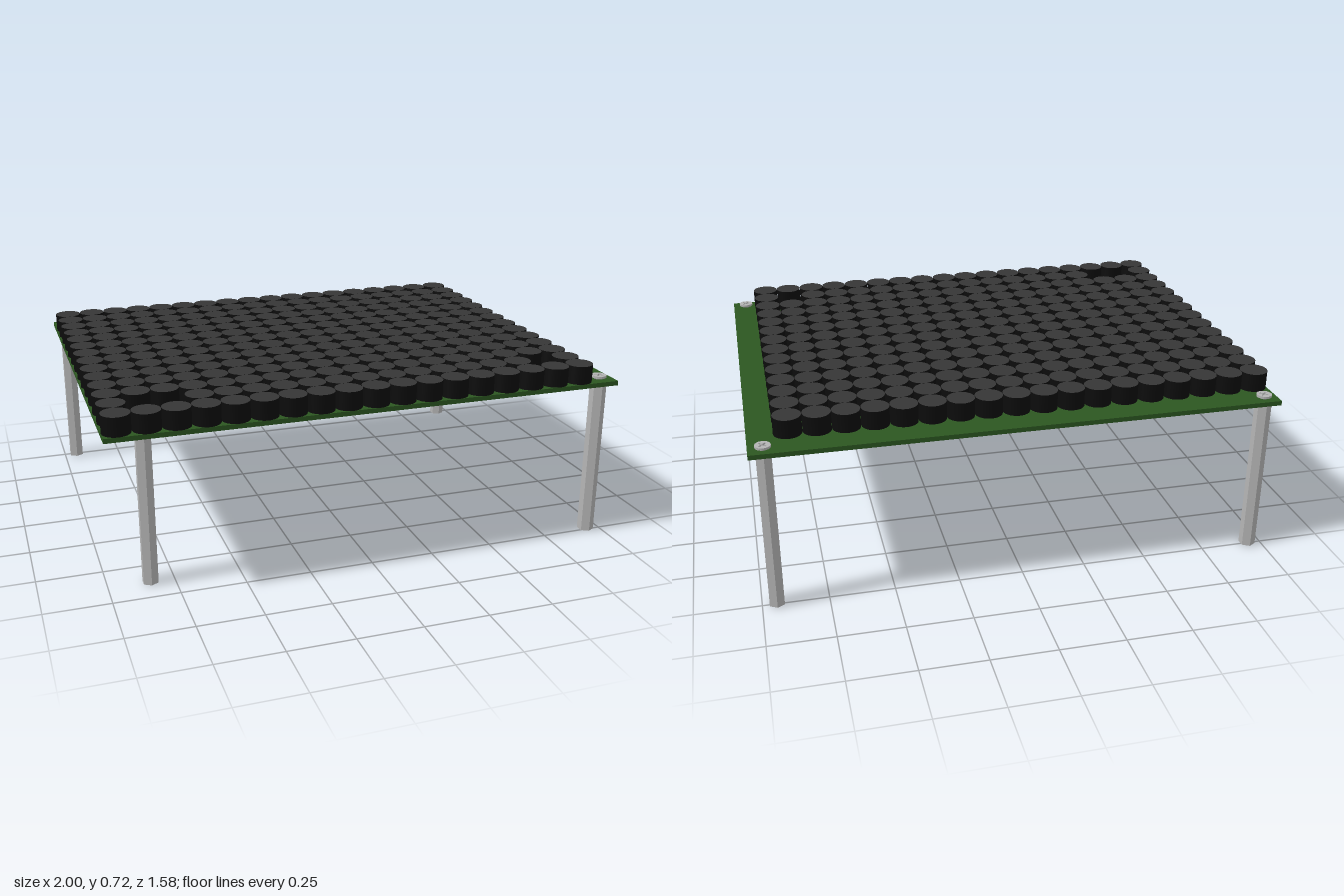
import * as THREE from 'three';

const mat = (name, color, extra = {}) => {
  const m = new THREE.MeshStandardMaterial({ color, ...extra });
  m.name = name;
  return m;
};

export function createModel() {
  const boardGreen = mat('boardGreen', 0x2c5721);
  const capTop = mat('charcoalTop', 0x363636);
  const capSide = mat('blackSide', 0x0c0c0c);
  const steel = mat('steel', 0xb4b4b4);
  steel.flatShading = true;

  const model = new THREE.Group();
  model.name = 'transducerBoard';
  const add = (name, geo, material, x, y, z, parent = model) => {
    const mesh = new THREE.Mesh(geo, material);
    mesh.name = name;
    mesh.position.set(x, y, z);
    parent.add(mesh);
    return mesh;
  };

  // Circuit board
  const boardBottom = 0.63, boardTop = 0.648;
  add('board', new THREE.BoxGeometry(2, boardTop - boardBottom, 1.578), boardGreen,
    0, (boardBottom + boardTop) / 2, 0);

  // Grid of round transducers, with three places left empty
  const pitch = 0.1058, capHeight = 0.72 - boardTop;
  const colX = (c) => -0.947 + c * pitch;
  const rowZ = (r) => -0.638 + r * pitch;
  const capGeo = new THREE.CylinderGeometry(0.0526, 0.0526, capHeight, 28);
  const caps = new THREE.Group();
  caps.name = 'transducers';
  model.add(caps);
  for (let r = 0; r < 14; r++) {
    for (let c = 0; c < 18; c++) {
      if (r === 12 && [1, 2, 16].includes(c)) continue;
      add('transducer', capGeo, [capSide, capTop, capSide],
        colX(c), boardTop + capHeight / 2, rowZ(r), caps);
    }
  }

  // Driver chips tucked between the transducers
  const chipGeo = new THREE.BoxGeometry(0.11, 0.02, 0.12);
  for (const c of [2, 8, 14])
    for (const r of [3.5, 9.5]) add('chip', chipGeo, capSide, colX(c), boardTop + 0.01, rowZ(r));

  // Screw head: a disc with a cross-shaped recess
  const headShape = new THREE.Shape().absarc(0, 0, 0.029, 0, Math.PI * 2, false);
  const a = 0.004, b = 0.017;
  const cross = [[a, a], [a, b], [-a, b], [-a, a], [-b, a], [-b, -a],
    [-a, -a], [-a, -b], [a, -b], [a, -a], [b, -a], [b, a]];
  headShape.holes.push(new THREE.Path(cross.map(([x, y]) => new THREE.Vector2(x, y))));
  const headGeo = new THREE.ExtrudeGeometry(headShape,
    { depth: 0.009, bevelEnabled: false, curveSegments: 10 });
  headGeo.rotateX(-Math.PI / 2).rotateY(Math.PI / 4);
  const neckGeo = new THREE.CylinderGeometry(0.022, 0.018, 0.006, 16);

  // Hexagonal standoff legs, each with its screw on top
  const legGeo = new THREE.CylinderGeometry(0.032, 0.032, boardBottom, 6);
  for (const [x, z] of [[-0.947, -0.744], [0.945, -0.744], [colX(1), rowZ(12)], [0.945, 0.737]]) {
    const post = new THREE.Group();
    post.name = 'legWithScrew';
    post.position.set(x, 0, z);
    model.add(post);
    add('leg', legGeo, steel, 0, boardBottom / 2, 0, post);
    add('screwNeck', neckGeo, steel, 0, boardTop + 0.003, 0, post);
    add('screwHead', headGeo, steel, 0, boardTop + 0.006, 0, post);
  }
  return model;
}
